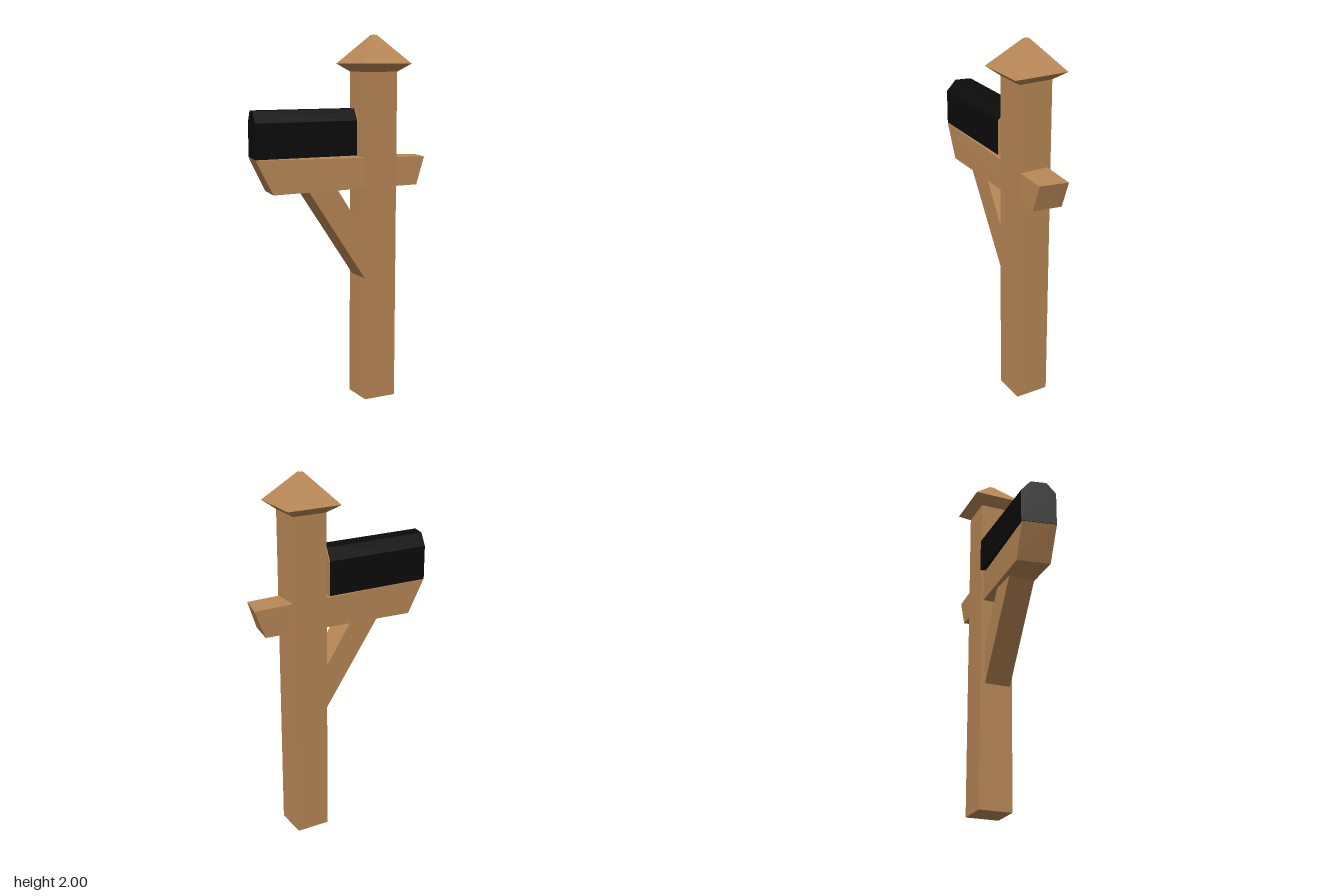
import * as THREE from 'three';

const wood = new THREE.MeshStandardMaterial({ color: 0xb98856, flatShading: true });
const black = new THREE.MeshStandardMaterial({ color: 0x0b0b0b, flatShading: true });
const POST_X = 0.208;

function add(parent, name, geometry, material) {
  const mesh = new THREE.Mesh(geometry, material);
  mesh.name = name;
  parent.add(mesh);
  return mesh;
}

// Solid between two matching loops of [x, y, z] corners; a is the -x end, b the +x end,
// both running bottom back, up, over to the front, down.
function loft(a, b) {
  const pos = [];
  const tri = (...pts) => pts.forEach((p) => pos.push(...p));
  const n = a.length;
  for (let i = 0; i < n; i++) {
    const j = (i + 1) % n;
    tri(a[i], a[j], b[j]);
    tri(a[i], b[j], b[i]);
    if (i > 0 && i < n - 1) {
      tri(a[0], a[j], a[i]);
      tri(b[0], b[i], b[j]);
    }
  }
  const g = new THREE.BufferGeometry();
  g.setAttribute('position', new THREE.Float32BufferAttribute(pos, 3));
  g.computeVertexNormals();
  return g;
}

// Square frustum standing on y, given its half widths
function frustum(topHalf, bottomHalf, y, height) {
  return new THREE.CylinderGeometry(topHalf * Math.SQRT2, bottomHalf * Math.SQRT2, height, 4)
    .rotateY(Math.PI / 4)
    .translate(POST_X, y + height / 2, 0);
}

export function createModel() {
  const model = new THREE.Group();
  model.name = 'mailboxOnPost';

  // Post and its pointed cap
  add(model, 'post', new THREE.BoxGeometry(0.186, 1.81, 0.186).translate(POST_X, 0.905, 0), wood);
  const cap = new THREE.Group();
  cap.name = 'postCap';
  add(cap, 'capFlare', frustum(0.149, 0.093, 1.805, 0.043), wood);
  add(cap, 'capPyramid', frustum(0.012, 0.149, 1.848, 0.152), wood);
  model.add(cap);

  // Slightly skewed crossbeam with slanted ends
  add(model, 'crossbeam', loft(
    [[-0.39, 1.18, -0.1], [-0.48, 1.363, -0.107], [-0.515, 1.363, 0.075], [-0.42, 1.18, 0.08]],
    [[0.455, 1.19, -0.065], [0.513, 1.342, -0.065], [0.483, 1.342, 0.086], [0.432, 1.19, 0.091]],
  ), wood);

  // Diagonal brace under the beam, its ends buried in beam and post
  const braceShape = new THREE.Shape([
    [-0.235, 1.21], [0.135, 0.66], [0.135, 0.905], [-0.065, 1.21],
  ].map(([x, y]) => new THREE.Vector2(x, y)));
  const brace = new THREE.ExtrudeGeometry(braceShape, { depth: 0.145, bevelEnabled: false });
  add(model, 'brace', brace.translate(0, 0, -0.065), wood);

  // Box with chamfered top edges, turned slightly like the beam
  const profile = [[1.365, 0], [1.55, 0], [1.61, 0.27], [1.61, 0.73], [1.55, 1], [1.365, 1]];
  const section = (xBack, xFront, zBack, zFront) => profile.map(([y, t]) => [
    THREE.MathUtils.lerp(xBack, xFront, t), y, THREE.MathUtils.lerp(zBack, zFront, t),
  ]);
  const mouth = section(0.101, 0.066, -0.105, 0.08);
  add(model, 'mailbox', loft(section(-0.478, -0.516, -0.111, 0.074), mouth), black);
  add(model, 'mailboxDoor', loft(mouth, section(0.106, 0.071, -0.105, 0.08)), wood);

  return model;
}
